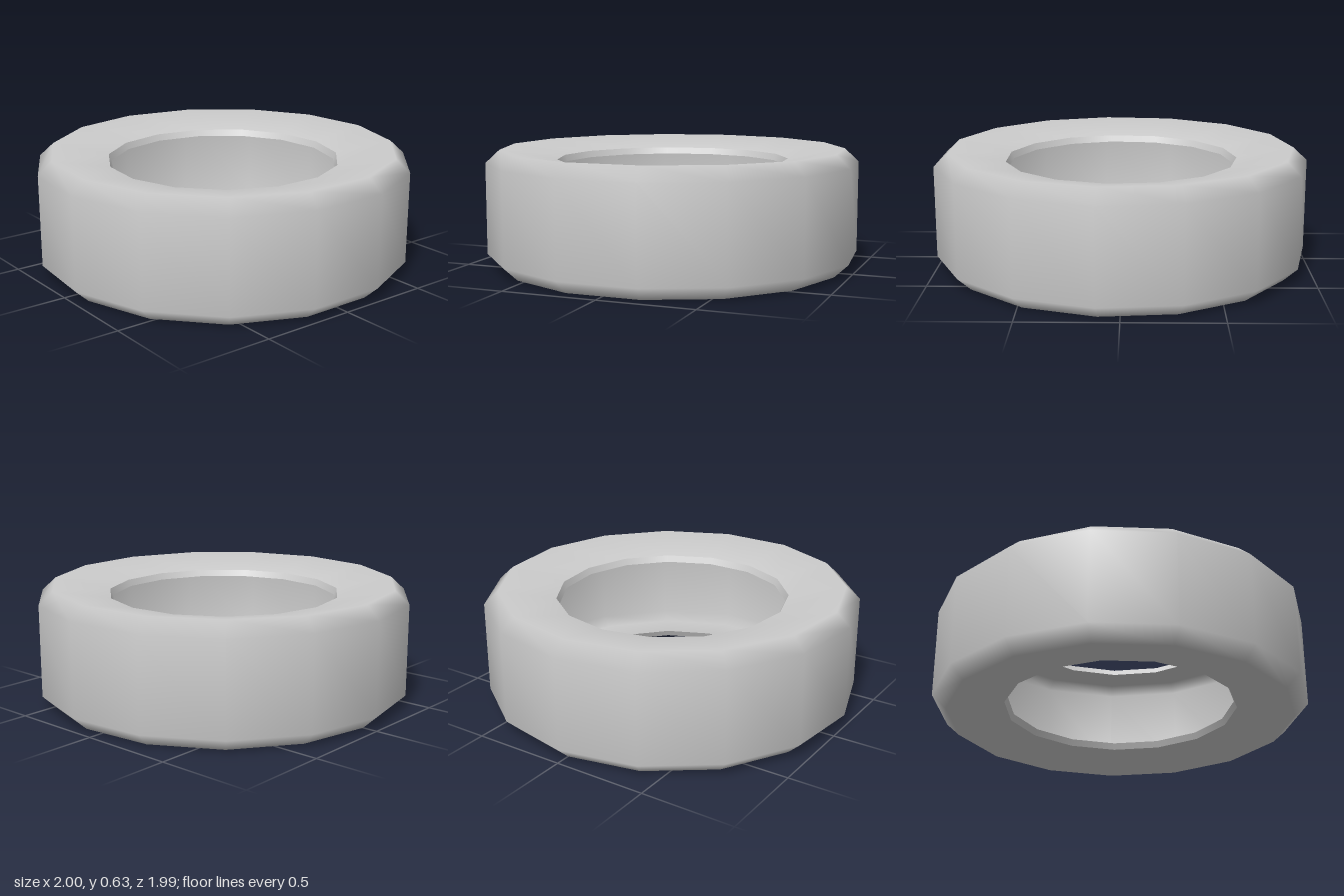
import * as THREE from 'three';

const SIDES = 15;
const MID = 0.315; // half height: the profile mirrors about this level

const material = new THREE.MeshStandardMaterial({ color: 0xcccccc });

// Revolve [radius, y] points around y, with one corner pointing to the back.
// Points run upward for faces looking outward, downward for faces looking inward.
function ring(name, points) {
  const profile = points.map(([r, y]) => new THREE.Vector2(r, y));
  const mesh = new THREE.Mesh(new THREE.LatheGeometry(profile, SIDES, Math.PI), material);
  mesh.name = name;
  return mesh;
}

// Complete an upper half profile (bead to tread) with its mirror image below.
function mirrored(half) {
  return [...half, ...half.map(([r, y]) => [r, 2 * MID - y]).reverse()];
}

export function createModel() {
  const tire = new THREE.Group();
  tire.name = 'tire';

  // Upper half profiles: bead edge, shoulder, tread edge
  const outer = [[0.625, 0.573], [0.93, 0.63], [1.0055, 0.56]];
  const inner = [[0.61, 0.538], [0.905, 0.592], [0.965, 0.545]];

  // Outside skin: sidewalls, chamfered shoulders and tread
  tire.add(ring('outerCarcass', mirrored(outer).reverse()));

  // Hollow inside, open toward the hole
  tire.add(ring('innerLining', mirrored(inner)));

  // Thin bead lips joining both skins around the hole
  const flip = ([r, y]) => [r, 2 * MID - y];
  tire.add(ring('topBead', [outer[0], inner[0]]));
  tire.add(ring('bottomBead', [flip(inner[0]), flip(outer[0])]));

  // Centre the odd-sided ring front to back
  for (const part of tire.children) part.position.z = 0.011;
  return tire;
}
